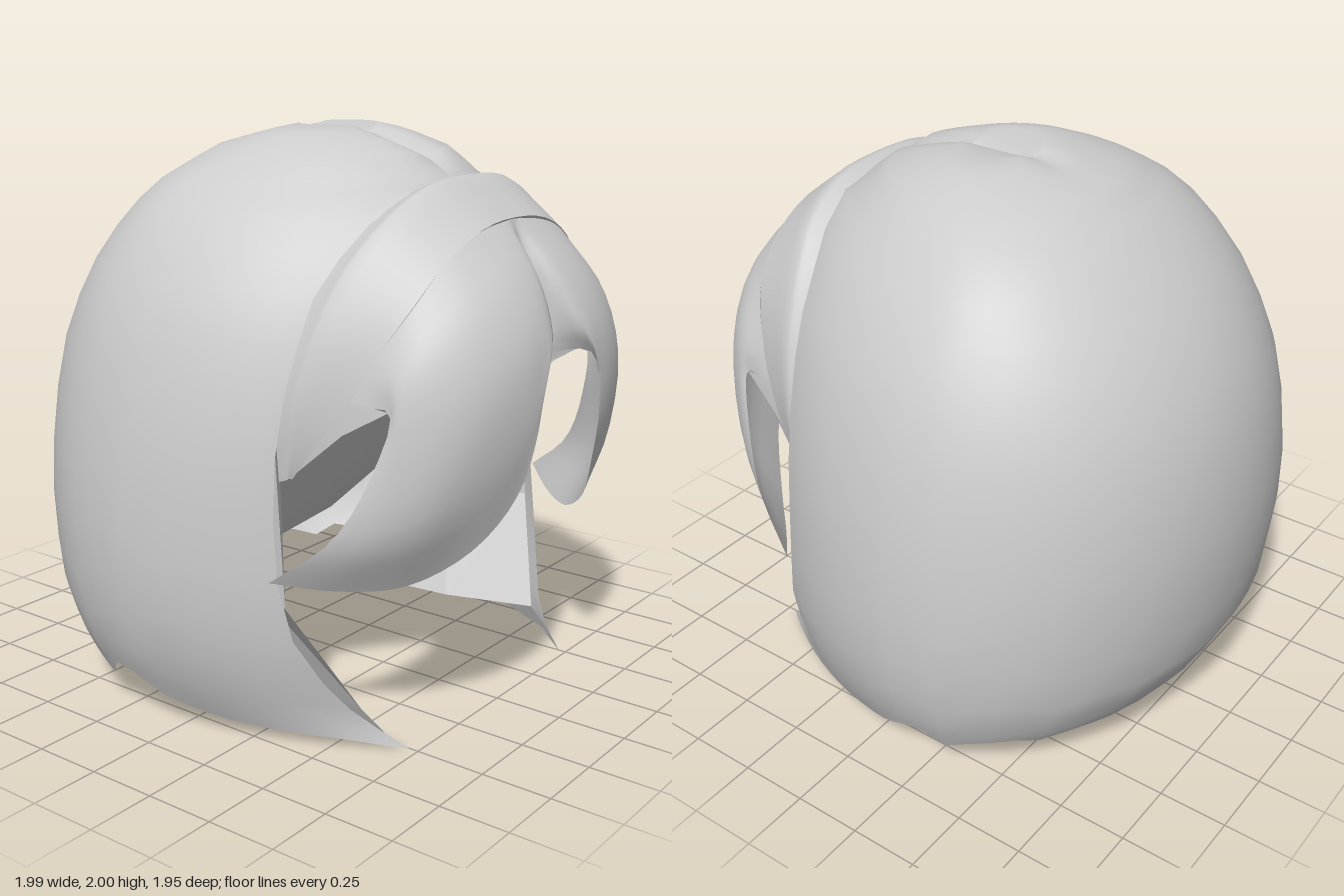
import * as THREE from 'three';

const hair = new THREE.MeshStandardMaterial({ color: 0xcccccc, side: THREE.DoubleSide });
hair.name = 'light grey hair';

// Piecewise linear lookup in a list of [key, value]
function lookup(table, k) {
  if (k <= table[0][0]) return table[0][1];
  for (let i = 1; i < table.length; i++) {
    const [a, va] = table[i - 1], [b, vb] = table[i];
    if (k <= b) return va + (vb - va) * (k - a) / (b - a);
  }
  return table[table.length - 1][1];
}

// Surface through a grid of points: columns[i][j] = Vector3
function skin(name, columns, flat = false) {
  const n = columns.length, m = columns[0].length, index = [];
  for (let i = 0; i < n - 1; i++) for (let j = 0; j < m - 1; j++) {
    const a = i * m + j, b = a + m;
    index.push(a, b, b + 1, a, b + 1, a + 1);
  }
  let g = new THREE.BufferGeometry().setFromPoints(columns.flat());
  g.setIndex(index);
  if (flat) g = g.toNonIndexed();
  g.computeVertexNormals();
  const mesh = new THREE.Mesh(g, hair);
  mesh.name = name;
  return mesh;
}

// Columns for the left half (centre first) become columns for both halves
const mirrored = half => half.map(c => c.map(p => new THREE.Vector3(p.x, p.y, -p.z))).reverse();
const bothSides = half => [...mirrored(half.slice(1)), ...half];
const vectors = cols => cols.map(c => c.map(p => new THREE.Vector3(...p)));

// Refine a coarse grid with splines in both directions
function smooth(cols, across, along) {
  const fine = cols.map(c => new THREE.CatmullRomCurve3(c).getPoints(along));
  const rows = fine[0].map((_, j) => new THREE.CatmullRomCurve3(fine.map(c => c[j])).getPoints(across));
  return rows[0].map((_, i) => rows.map(r => r[i]));
}

// A left part and its mirror image in one group
function pair(name, cols, flat) {
  const g = new THREE.Group();
  g.name = name + 's';
  g.add(skin(name, cols, flat), skin(name, mirrored(cols), flat));
  return g;
}

// Outline of the main hair by height
const backX = [[0, -0.7], [0.1, -0.76], [0.2, -0.85], [0.4, -0.95], [0.8, -1], [1.2, -0.96], [1.4, -0.88],
  [1.6, -0.77], [1.8, -0.57], [1.93, -0.37], [2, -0.1]];
const frontX = [[0, 0.72], [0.07, 0.62], [0.15, 0.55], [0.35, 0.45], [0.6, 0.4], [0.9, 0.38], [1.2, 0.39],
  [1.55, 0.42], [1.7, 0.47], [1.83, 0.54], [1.93, 0.42], [2, 0.17]];
const width = [[0, 0.8], [0.1, 0.86], [0.25, 0.925], [0.45, 0.97], [0.7, 0.975], [1, 0.95], [1.3, 0.885],
  [1.5, 0.81], [1.72, 0.67], [1.83, 0.55], [1.9, 0.45], [1.95, 0.35], [1.98, 0.26], [2, 0.15]];
const edgeZ = [[0, 0.5], [0.2, 0.67], [0.4, 0.77], [0.6, 0.8], [0.9, 0.8], [1.1, 0.775], [1.3, 0.72],
  [1.5, 0.63], [1.7, 0.46], [1.8, 0.26], [1.84, 0]];
const widestX = [[0, -0.18], [1.8, -0.18], [2, 0.03]];
// Ragged hem height, front tip to centre back
const hem = [[0, 0], [0.1, 0.03], [0.3, 0.05], [0.42, 0.09], [0.5, 0.17], [0.54, 0.18], [0.58, 0.1], [0.62, 0.15],
  [0.69, 0.18], [0.73, 0.14], [0.8, 0.19], [0.84, 0.14], [0.88, 0.18], [0.96, 0.15], [1, 0.18]];
const levels = [0, 0.03, 0.07, 0.12, 0.2, 0.3, 0.4, 0.5, 0.6, 0.68, 0.75, 0.81, 0.86, 0.9, 0.92, 0.94, 0.96, 0.98, 0.99, 1];

function shellPoint(u, s, closing) {
  const h = lookup(hem, u), y = h + (2 - h) * s;
  const w = closing ? 0 : lookup(width, y);
  const xm = lookup(widestX, y), xb = lookup(backX, y), xf = lookup(frontX, y);
  const start = closing ? 0 : Math.asin(lookup(edgeZ, y) / w);
  const a = u < 0.5 ? start + (Math.PI / 2 - start) * u * 2 : Math.PI * u;
  const x = u < 0.5 ? xm + (xf - xm) * Math.cos(a) / Math.cos(start) : xm + (xm - xb) * Math.cos(a);
  const z = w * Math.sin(a);
  // shallow parting along the crown
  const fade = THREE.MathUtils.smoothstep(x, -0.3, 0) * THREE.MathUtils.smoothstep(y, 1.78, 1.95);
  return new THREE.Vector3(x, y - 0.035 * fade * Math.exp(-((z / 0.05) ** 2)), z);
}

function mainHair() {
  const half = [];
  for (let i = 26; i >= 0; i--) {
    const col = levels.map(s => shellPoint(i / 26, s, false));
    col.push(shellPoint(i / 26, 1, true));
    half.push(col);
  }
  return skin('mainHair', bothSides(half));
}

// Raised band, centre to side: crest beside the main hair and front lip
const lip = [[0.76, 1.72, 0], [0.765, 1.7, 0.2], [0.75, 1.62, 0.38], [0.72, 1.5, 0.51],
  [0.65, 1.35, 0.6], [0.57, 1.18, 0.66], [0.48, 1.05, 0.7], [0.4, 0.93, 0.72]];
const ridge = [[0.58, 1.85, 0], [0.575, 1.83, 0.23], [0.55, 1.74, 0.42], [0.5, 1.6, 0.56],
  [0.46, 1.42, 0.665], [0.43, 1.25, 0.72], [0.41, 1.1, 0.74], [0.39, 0.93, 0.735]];

function band() {
  const half = vectors(lip.map((p, i) => {
    const r = ridge[i];
    const mid = r.map((v, k) => (v + p[k]) / 2 + (k === 1 ? 0.004 : 0));
    return [[r[0] - 0.15, r[1] - 0.05, r[2]], [r[0] - 0.04, r[1] - 0.015, r[2]], r, mid, p];
  }));
  return skin('raisedBand', smooth(bothSides(half), 42, 10));
}

// Parted fringe: strands from the band's lip to the swept lower edge
function fringe() {
  const half = vectors([
    [[0.755, 1.715, 0], [0.8, 1.6, 0], [0.83, 1.46, 0], [0.86, 1.34, 0], [0.87, 1.27, 0]],
    [[0.755, 1.712, 0.05], [0.88, 1.56, 0.055], [0.95, 1.42, 0.075], [0.98, 1.34, 0.11], [0.98, 1.27, 0.16]],
    [[0.755, 1.7, 0.16], [0.89, 1.55, 0.18], [0.975, 1.38, 0.2], [1, 1.2, 0.2], [0.995, 1.08, 0.205]],
    [[0.755, 1.67, 0.28], [0.9, 1.49, 0.31], [0.97, 1.3, 0.33], [0.985, 1.08, 0.29], [0.95, 0.86, 0.25]],
    [[0.745, 1.61, 0.39], [0.87, 1.43, 0.44], [0.93, 1.2, 0.46], [0.92, 0.93, 0.43], [0.86, 0.69, 0.37]],
    [[0.718, 1.49, 0.515], [0.8, 1.34, 0.56], [0.85, 1.12, 0.57], [0.82, 0.82, 0.57], [0.71, 0.58, 0.52]],
    [[0.645, 1.34, 0.605], [0.73, 1.25, 0.625], [0.76, 1.05, 0.64], [0.7, 0.77, 0.67], [0.55, 0.57, 0.67]],
    [[0.56, 1.17, 0.662], [0.71, 1.18, 0.63], [0.68, 0.98, 0.68], [0.58, 0.77, 0.75], [0.39, 0.61, 0.83]],
  ]);
  return skin('fringe', smooth(bothSides(half), 56, 14));
}

// Short strands bridging the band's end and the fringe above the temple gap
const templeStrands = () => pair('templeStrand', vectors([
  [[0.58, 1.2, 0.655], [0.71, 1.18, 0.63]],
  [[0.48, 1.06, 0.7], [0.56, 1.09, 0.67]],
  [[0.4, 0.94, 0.72], [0.41, 0.95, 0.715]],
]));

// Inner plate sloping back and down behind the face
const innerPlate = () => skin('innerPlate', bothSides(vectors([
  [[-0.04, 0.88, 0], [-0.47, 0.25, 0]],
  [[0.2, 0.98, 0.4], [-0.23, 0.44, 0.3]],
  [[0.3, 1.02, 0.62], [-0.24, 0.55, 0.55]],
])));

// Inner walls of the side locks, turned out to the hem at the bottom
const sideLinings = () => pair('sideLining', vectors([
  [[0.3, 1.02, 0.62], [-0.24, 0.55, 0.55], [-0.2, 0.12, 0.42], [-0.25, 0.17, 0.8]],
  [[0.33, 1.03, 0.7], [0.1, 0.55, 0.66], [0.2, 0.1, 0.5], [0.15, 0.07, 0.77]],
  [[0.37, 1.04, 0.77], [0.4, 0.5, 0.76], [0.56, 0.12, 0.56], [0.66, 0.04, 0.54]],
]), true);

export function createModel() {
  const model = new THREE.Group();
  model.name = 'bobHair';
  model.add(mainHair(), band(), fringe(), templeStrands(), innerPlate(), sideLinings());
  return model;
}
